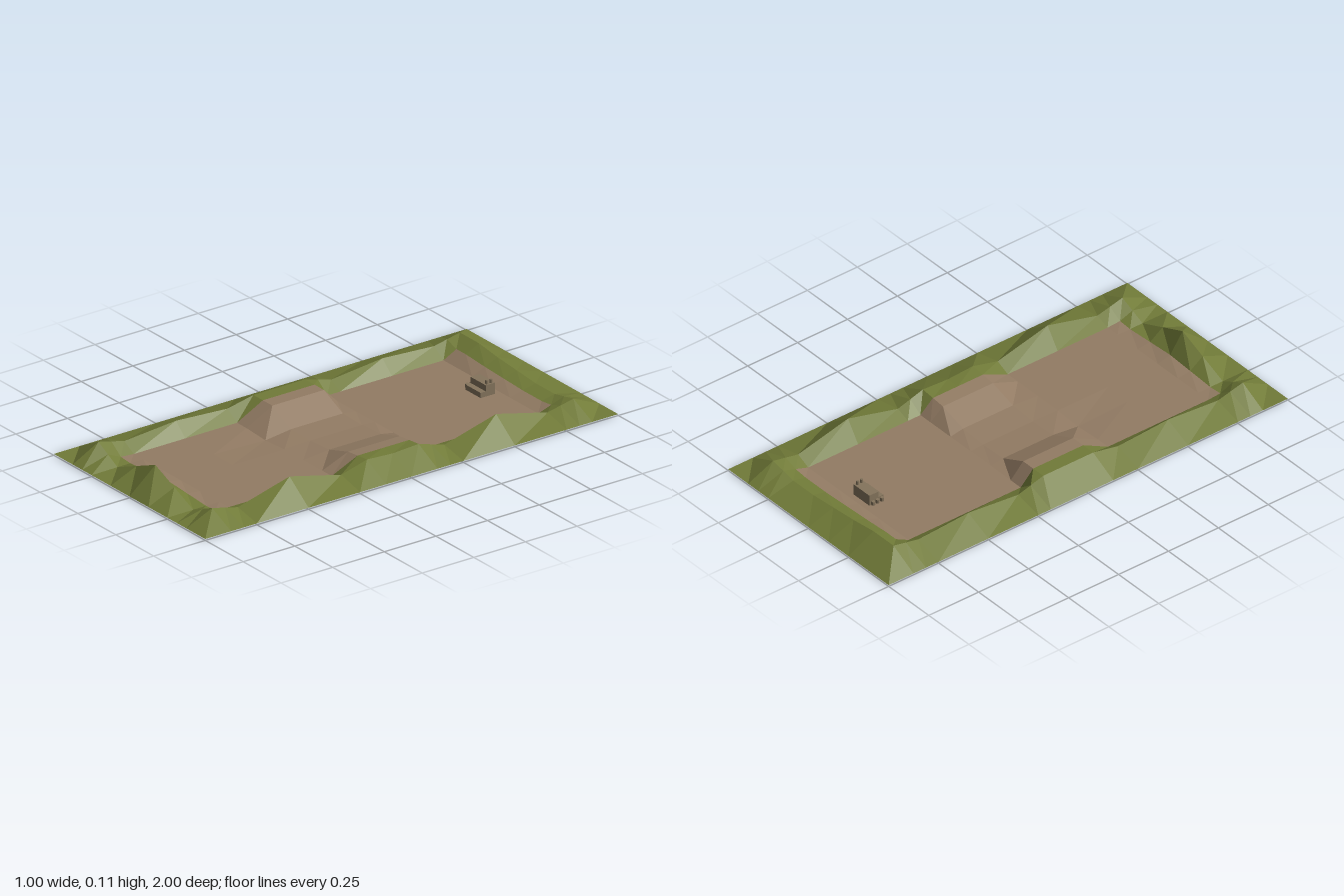
import * as THREE from 'three';

const FLOOR = 0.007;

// Piecewise-linear lookup through [position, height] pairs in rising order
function profile(points, t) {
  for (let i = 1; i < points.length; i++) {
    const [a, ha] = points[i - 1], [b, hb] = points[i];
    if (t <= b) return ha + (hb - ha) * Math.max(0, (t - a) / (b - a));
  }
  return points[points.length - 1][1];
}

// Crest heights of the surrounding banks
const rightCrest = [[-0.875, 0.06], [-0.75, 0.035], [-0.5, 0.095], [-0.25, 0.03], [-0.125, 0.067],
  [0, 0.06], [0.125, 0.067], [0.25, 0.035], [0.5, 0.095], [0.75, 0.03], [0.875, 0.06]];
const leftCrest = [[-0.875, 0.07], [-0.75, 0.045], [-0.5, 0.06], [-0.25, 0.035], [-0.125, 0.07],
  [0.125, 0.07], [0.25, 0.045], [0.5, 0.06], [0.75, 0.04], [0.875, 0.07]];
const frontCrest = [[-0.375, 0.07], [-0.25, FLOOR], [0, 0.108], [0.25, FLOOR], [0.375, 0.06]];
const backCrest = [[-0.375, 0.07], [-0.25, 0.07], [-0.125, 0.055], [0, 0.045], [0.125, 0.035],
  [0.25, 0.035], [0.375, 0.06]];

// Cross-section of the mounds that pinch the middle of the yard
const mounds = [[-0.375, 0.07], [-0.25, 0.07], [-0.125, 0.015], [0, 0.011], [0.125, 0.018],
  [0.25, 0.055], [0.375, 0.067]];
const moundFade = [[-0.1875, 0], [-0.125, 1], [0.125, 1], [0.25, 0]];

function groundHeight(x, z) {
  if (Math.abs(x) === 0.5 || Math.abs(z) === 1) return 0.006;
  if (x === 0.375) return profile(rightCrest, z);
  if (x === -0.375) return profile(leftCrest, z);
  if (z === 0.875) return profile(frontCrest, x);
  if (z === -0.875) return profile(backCrest, x);
  if (z === 0.8125) return FLOOR + 0.15 * (profile(frontCrest, x) - FLOOR);
  if (z === -0.8125) return (FLOOR + profile(backCrest, x)) / 2;
  if (x === -0.125 && z === 0.25) return 0; // shallow hollow
  return FLOOR + profile(moundFade, z) * (profile(mounds, x) - FLOOR);
}

// Faceted ground made of the grid cells accepted by the test
function ground(name, material, accepts) {
  const xs = [-0.5, -0.375, -0.3125, -0.25, -0.125, 0, 0.125, 0.25, 0.3125, 0.375, 0.5];
  const zs = [-1, -0.875, -0.8125, -0.75, -0.5, -0.25, -0.1875, -0.125, 0, 0.125, 0.25, 0.5,
    0.75, 0.8125, 0.875, 1];
  const positions = [];
  for (let i = 0; i < xs.length - 1; i++) {
    for (let j = 0; j < zs.length - 1; j++) {
      const [x0, x1, z0, z1] = [xs[i], xs[i + 1], zs[j], zs[j + 1]];
      if (!accepts((x0 + x1) / 2, (z0 + z1) / 2)) continue;
      const corners = [[x0, z0], [x0, z1], [x1, z1], [x0, z0], [x1, z1], [x1, z0]];
      for (const [x, z] of corners) positions.push(x, groundHeight(x, z), z);
    }
  }
  const geometry = new THREE.BufferGeometry();
  geometry.setAttribute('position', new THREE.Float32BufferAttribute(positions, 3));
  geometry.computeVertexNormals();
  const mesh = new THREE.Mesh(geometry, material);
  mesh.name = name;
  return mesh;
}

function material(name, color) {
  const m = new THREE.MeshStandardMaterial({ color, side: THREE.DoubleSide, flatShading: true });
  m.name = name;
  return m;
}

export function createModel() {
  const model = new THREE.Group();
  model.name = 'walledYard';
  const grass = material('grass green', 0x717b38);
  const dirt = material('dirt brown', 0x937c64);
  const metal = material('machine tan', 0x84745c);

  // Grassy banks and the dirt yard inside them
  const inYard = (x, z) => Math.abs(x) < 0.3125 && Math.abs(z) < 0.8125;
  model.add(ground('grassBanks', grass, (x, z) => !inYard(x, z)));
  model.add(ground('dirtYard', dirt, inYard));

  // Small stepped machine near the back
  const machine = new THREE.Group();
  machine.name = 'machine';
  machine.position.set(0.012, FLOOR, -0.69);
  const add = (name, geometry, x, y, z) => {
    const mesh = new THREE.Mesh(geometry, metal);
    mesh.name = name;
    mesh.position.set(x, y, z);
    machine.add(mesh);
    return mesh;
  };
  add('machineBase', new THREE.BoxGeometry(0.1, 0.022, 0.07), 0, 0.011, 0);
  add('machineBody', new THREE.BoxGeometry(0.1, 0.026, 0.045), 0, 0.035, -0.0125);
  for (const z of [-0.022, -0.002]) {
    add('exhaustPost', new THREE.CylinderGeometry(0.006, 0.006, 0.018, 8), 0.04, 0.055, z);
  }
  for (const z of [-0.022, 0, 0.022]) {
    add('endRoller', new THREE.CylinderGeometry(0.008, 0.008, 0.016, 8), -0.058, 0.012, z);
  }
  model.add(machine);
  return model;
}
